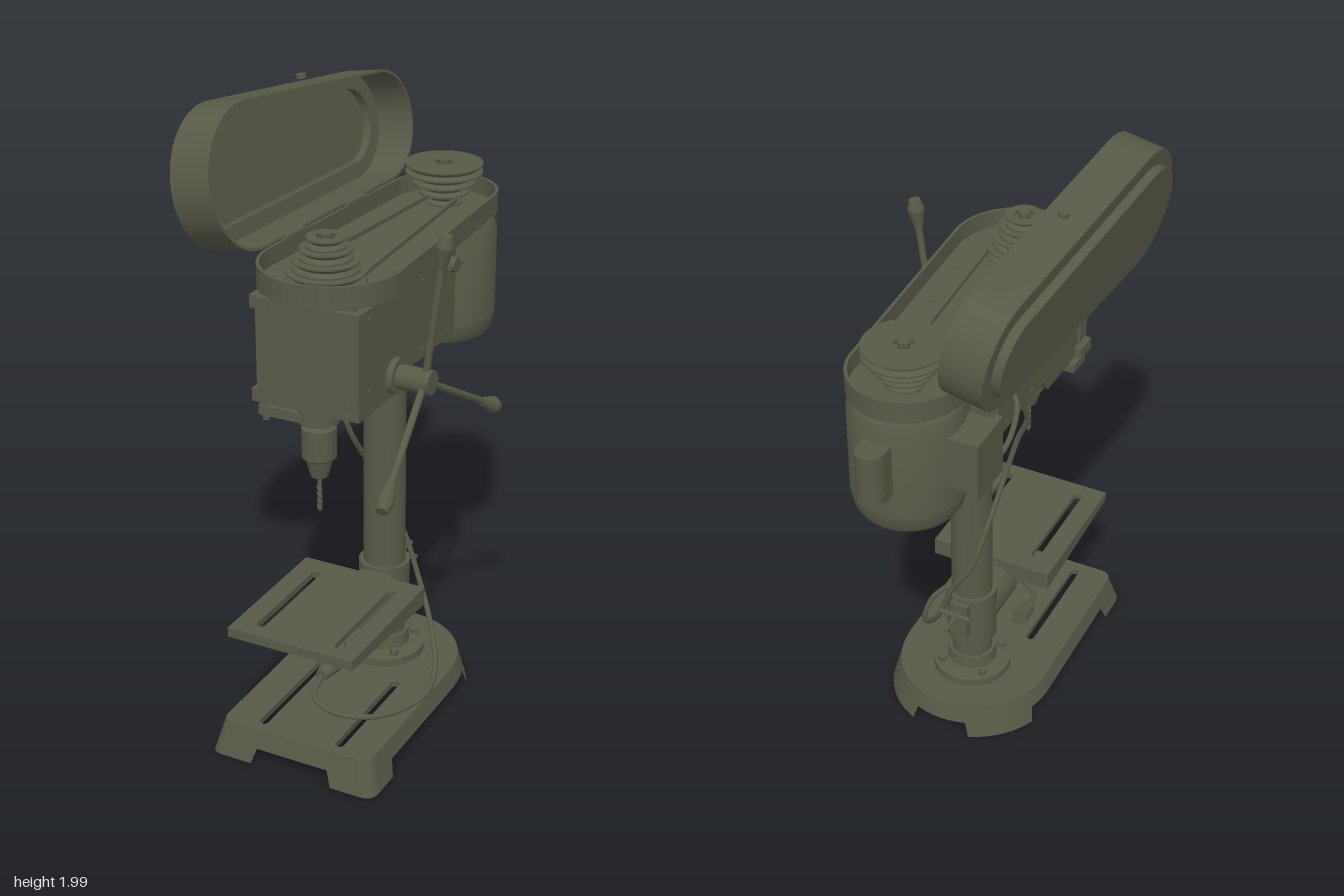
import * as THREE from 'three';
import { toCreasedNormals } from 'three/addons/utils/BufferGeometryUtils.js';

const paint = new THREE.MeshStandardMaterial({ color: 0x575a47, side: THREE.DoubleSide });
paint.name = 'olive paint';
const V = (x, y, z) => new THREE.Vector3(x, y, z);
const CX = 0.04; // centre line of the machine

export function createModel() {
  const root = new THREE.Group();
  root.name = 'drillPress';

  const add = (name, geo, x = 0, y = 0, z = 0, parent = root) => {
    const m = new THREE.Mesh(geo, paint);
    m.name = name;
    m.position.set(x, y, z);
    parent.add(m);
    return m;
  };
  const box = (name, x0, x1, y0, y1, z0, z1) =>
    add(name, new THREE.BoxGeometry(x1 - x0, y1 - y0, z1 - z0), (x0 + x1) / 2, (y0 + y1) / 2, (z0 + z1) / 2);
  const lathe = (name, pts, x, z, seg = 40) =>
    add(name, toCreasedNormals(new THREE.LatheGeometry(pts.map(p => new THREE.Vector2(...p)), seg), 0.6), x, 0, z);
  // Cylinder between two points
  const rod = (name, a, b, r0, r1 = r0, seg = 16) => {
    const m = add(name, new THREE.CylinderGeometry(r1, r0, a.distanceTo(b), seg), ...a.clone().lerp(b, 0.5));
    m.quaternion.setFromUnitVectors(V(0, 1, 0), b.clone().sub(a).normalize());
    return m;
  };
  const extrude = (shape, depth) =>
    toCreasedNormals(new THREE.ExtrudeGeometry(shape, { depth, bevelEnabled: false, curveSegments: 32 }), 0.5);
  // Side profile in (z, y), extruded across x
  const profile = (name, pts, x0, x1) =>
    add(name, extrude(new THREE.Shape(pts.map(p => new THREE.Vector2(...p))), x1 - x0).rotateY(-Math.PI / 2), x1);
  const tube = (name, pts, r) =>
    add(name, new THREE.TubeGeometry(new THREE.CatmullRomCurve3(pts.map(p => V(...p))), 100, r, 8));
  // Long rounded slot, running along z from z0 to z1
  const slot = (x, z0, z1, r = 0.014) => {
    const p = new THREE.Path();
    p.absarc(x, -z0 - r, r, 0, Math.PI, false);
    p.absarc(x, -z1 + r, r, Math.PI, Math.PI * 2, false);
    return p;
  };
  // Outline around two circles of different radius
  const D = 0.735;
  const hull = (r1, r2, C = THREE.Shape) => {
    const a = Math.acos((r1 - r2) / D), s = new C();
    s.absarc(0, 0, r1, a, Math.PI * 2 - a, false);
    s.absarc(D, 0, r2, -a, a, false);
    s.closePath();
    return s;
  };
  const ring = (r1, r2, w) => {
    const s = hull(r1, r2);
    s.holes.push(hull(r1 - w, r2 - w, THREE.Path));
    return s;
  };

  // Base: sloped skirt with cut-outs between the feet, slotted top
  const outline = new THREE.Shape();
  outline.moveTo(-0.195, -0.635);
  outline.lineTo(0.28, -0.635);
  outline.quadraticCurveTo(0.325, -0.635, 0.325, -0.59);
  outline.lineTo(0.325, -0.02);
  outline.absarc(CX, -0.02, 0.283, 0, Math.PI, false);
  outline.lineTo(-0.24, -0.59);
  outline.quadraticCurveTo(-0.24, -0.635, -0.195, -0.635);
  const rim = outline.getSpacedPoints(240);
  const inset = (p, t) => [CX + (p.x - CX) * (1 - 0.1 * t), -0.19 + (p.y + 0.19) * (1 - 0.062 * t)];
  const pos = [], idx = [];
  rim.forEach((p, i) => {
    const x = Math.abs(p.x - CX), z = -p.y;
    const notch = (z > 0.6 && x < 0.13) || (z > -0.08 && z < 0.49 && x > 0.2) || (z < -0.2 && x < 0.1);
    const y0 = notch ? 0.05 : 0;
    for (const y of [y0, 0.106]) {
      const [a, b] = inset(p, y / 0.106);
      pos.push(a, y, -b);
    }
    if (i) idx.push(2 * i - 2, 2 * i, 2 * i - 1, 2 * i, 2 * i + 1, 2 * i - 1);
  });
  const skirt = new THREE.BufferGeometry();
  skirt.setAttribute('position', new THREE.Float32BufferAttribute(pos, 3));
  skirt.setIndex(idx);
  add('baseSkirt', toCreasedNormals(skirt, 0.5));
  const top = new THREE.Shape(rim.slice(0, -1).map(p => new THREE.Vector2(...inset(p, 1))));
  for (const x of [-0.09, 0.175]) top.holes.push(slot(x, 0.17, 0.57));
  add('baseTop', extrude(top, 0.02).rotateX(-Math.PI / 2), 0, 0.088);

  // Column with foot flange and top collar
  lathe('columnFoot', [[0, 0.1], [0.13, 0.1], [0.13, 0.135], [0.082, 0.143], [0.078, 0.185], [0, 0.185]], CX, -0.005);
  for (let i = 0; i < 4; i++) {
    const a = Math.PI / 4 + i * Math.PI / 2;
    add('footBolt', new THREE.CylinderGeometry(0.014, 0.014, 0.02, 6), CX + 0.105 * Math.cos(a), 0.145, -0.005 + 0.105 * Math.sin(a));
  }
  rod('column', V(CX, 0.1, -0.005), V(CX, 1.22, -0.005), 0.067, 0.067, 40);
  rod('columnCollar', V(CX, 1.14, -0.005), V(CX, 1.22, -0.005), 0.077, 0.077, 40);

  // Work table and its clamp
  const plate = new THREE.Shape([[-0.17, -0.62], [0.25, -0.62], [0.25, -0.135], [-0.17, -0.135]].map(p => new THREE.Vector2(...p)));
  for (const x of [-0.09, 0.175]) plate.holes.push(slot(x, 0.2, 0.57));
  add('tableTop', extrude(plate, 0.02).rotateX(-Math.PI / 2), 0, 0.436);
  for (const x of [-0.17, 0.238])
    profile('tableSide', [[0.62, 0.455], [0.135, 0.455], [0.135, 0.395], [0.62, 0.425]], x, x + 0.012);
  box('tableFront', -0.17, 0.25, 0.425, 0.45, 0.608, 0.62);
  box('tableBack', -0.17, 0.25, 0.395, 0.45, 0.135, 0.147);
  profile('tableArm', [[0.42, 0.437], [0.13, 0.437], [0.13, 0.335], [0.17, 0.335], [0.42, 0.37]], 0.008, 0.072);
  rod('tablePivot', V(CX, 0.35, 0), V(CX, 0.35, 0.168), 0.083, 0.083, 36);
  rod('tableClamp', V(CX, 0.25, -0.005), V(CX, 0.44, -0.005), 0.082, 0.082, 36);
  box('clampLug', 0.01, 0.07, 0.3, 0.43, -0.105, -0.05);
  rod('clampScrew', V(CX, 0.4, -0.09), V(CX, 0.4, -0.2), 0.008);
  rod('clampHandle', V(-0.01, 0.4, -0.12), V(0.1, 0.4, -0.12), 0.008);

  // Head casting
  profile('head', [[0.485, 1.48], [0.485, 1.155], [0.2, 1.155], [0.17, 1.203], [-0.15, 1.203], [-0.15, 1.48]], -0.125, 0.205);
  box('headNeck', -0.1, 0.18, 1.47, 1.505, -0.13, 0.46);
  for (const z of [-0.1, 0.08, 0.42]) for (const y of [1.23, 1.45])
    for (const s of [-1, 1])
      rod('headScrew', V(CX + s * 0.16, y, z), V(CX + s * 0.169, y, z), 0.008, 0.008, 8);
  for (const x of [-0.09, 0.17]) for (const y of [1.2, 1.45])
    rod('frontScrew', V(x, y, 0.48), V(x, y, 0.489), 0.008, 0.008, 8);

  // Depth stop on the left of the head
  for (const y of [1.17, 1.46]) box('depthStopBracket', -0.15, -0.08, y - 0.02, y + 0.02, 0.4, 0.475);
  rod('depthStopRod', V(-0.115, 1.09, 0.455), V(-0.115, 1.48, 0.455), 0.01);
  rod('depthStopNut', V(-0.115, 1.28, 0.455), V(-0.115, 1.31, 0.455), 0.018, 0.018, 6);
  box('depthScale', -0.135, -0.12, 1.2, 1.46, 0.42, 0.47);
  box('depthStopArm', -0.135, 0.04, 1.105, 1.135, 0.38, 0.465);

  // Spindle, chuck and bit
  lathe('spindle', [[0, 1.2], [0.045, 1.2], [0.045, 1.145], [0.062, 1.145], [0.062, 1.1], [0.03, 1.1], [0.03, 1.085],
    [0.052, 1.08], [0.052, 0.985], [0.04, 0.975], [0.036, 0.955], [0.026, 0.92], [0, 0.918]], 0.035, 0.41);
  rod('drillBit', V(0.035, 0.81, 0.41), V(0.035, 0.93, 0.41), 0.007);
  rod('bitTip', V(0.035, 0.797, 0.41), V(0.035, 0.81, 0.41), 0, 0.007);
  const flute = [];
  for (let i = 0; i <= 40; i++) flute.push([0.035 + 0.006 * Math.cos(i * 0.6), 0.81 + i * 0.002, 0.41 + 0.006 * Math.sin(i * 0.6)]);
  tube('bitFlute', flute, 0.0035);

  // Feed hub with three handles
  rod('feedBoss', V(0.2, 1.22, 0.265), V(0.225, 1.22, 0.265), 0.055, 0.055, 28);
  rod('feedHub', V(0.2, 1.22, 0.265), V(0.33, 1.22, 0.265), 0.037, 0.037, 28);
  for (let i = 0; i < 3; i++) {
    const a = Math.PI / 2 + i * Math.PI * 2 / 3;
    const at = r => V(0.305 + 0.06 * r / 0.45, 1.22 + r * Math.sin(a), 0.265 + r * Math.cos(a));
    rod('feedArm', at(0), at(0.37), 0.011);
    rod('feedKnob', at(0.355), at(0.42), 0.013, 0.027);
    rod('feedKnobEnd', at(0.42), at(0.452), 0.027, 0.018);
  }

  // Belt tray
  const lay = new THREE.Matrix4().makeBasis(V(0, 0, -1), V(-1, 0, 0), V(0, 1, 0));
  add('trayFloor', extrude(hull(0.213, 0.173), 0.012).applyMatrix4(lay), CX, 1.5, 0.333);
  add('trayWall', extrude(ring(0.215, 0.175, 0.01), 0.068).applyMatrix4(lay), CX, 1.5, 0.333);
  for (const x of [-0.09, 0.175]) for (const z of [0, 0.2])
    rod('trayScrew', V(x, 1.51, z), V(x, 1.516, z), 0.01, 0.01, 8);

  // Stepped pulleys
  const pulley = (name, z, radii) => {
    const pts = [[0, 1.515]];
    radii.forEach((r, i) => {
      const y = 1.52 + i * 0.033;
      pts.push([r, y], [r, y + 0.006], [r - 0.013, y + 0.016], [r, y + 0.027], [r, y + 0.032]);
    });
    pts.push([0.03, 1.652], [0.03, 1.64], [0, 1.64]);
    lathe(name, pts, CX, z, 48);
    rod('pulleyNut', V(CX, 1.63, z), V(CX, 1.66, z), 0.018, 0.018, 6);
  };
  pulley('frontPulley', 0.365, [0.118, 0.098, 0.078, 0.058]);
  pulley('rearPulley', -0.412, [0.058, 0.078, 0.1, 0.123]);
  add('belt', extrude(ring(0.1, 0.053, 0.01), 0.014).applyMatrix4(lay), CX, 1.53, 0.345);

  // Open lid, hinged along the left edge of the tray
  const lid = new THREE.Group();
  lid.name = 'lid';
  lid.position.set(-0.175, 1.57, 0.333);
  lid.rotation.set(0, -0.055, 0.165, 'YXZ');
  root.add(lid);
  const stand = new THREE.Matrix4().makeBasis(V(0, 0, -1), V(0, 1, 0), V(1, 0, 0));
  const lidPart = (name, shape, depth, x) =>
    add(name, extrude(shape, depth).rotateZ(-0.054).applyMatrix4(stand), x, 0.215, 0, lid);
  lidPart('lidWall', ring(0.215, 0.175, 0.008), 0.13, -0.13);
  lidPart('lidShoulder', ring(0.214, 0.174, 0.054), 0.008, -0.134);
  lidPart('lidStep', ring(0.166, 0.126, 0.008), 0.032, -0.16);
  lidPart('lidFace', hull(0.165, 0.125), 0.008, -0.162);
  for (const z of [-0.15, -0.5]) add('lidHinge', new THREE.CylinderGeometry(0.009, 0.009, 0.1, 10).rotateX(Math.PI / 2), 0, 0, z, lid);
  add('lidCatch', new THREE.CylinderGeometry(0.016, 0.016, 0.014, 12), -0.06, 0.412, -0.4, lid);

  // Motor
  const MZ = -0.408;
  lathe('motor', [[0, 1.09], [0.125, 1.09], [0.15, 1.1], [0.165, 1.125], [0.168, 1.16], [0.172, 1.162], [0.172, 1.45],
    [0.16, 1.478], [0.03, 1.482], [0.03, 1.52], [0, 1.52]], CX, MZ, 48);
  for (const r of [0.035, 0.065, 0.095])
    add('motorVentRing', new THREE.TorusGeometry(r, 0.006, 6, 32).rotateX(Math.PI / 2), CX, 1.09, MZ);
  for (let i = 0; i < 4; i++) {
    const a = i * Math.PI / 4, c = 0.11 * Math.cos(a), s = 0.11 * Math.sin(a);
    rod('motorVentRib', V(CX - c, 1.089, MZ - s), V(CX + c, 1.089, MZ + s), 0.005, 0.005, 6);
  }
  // Rounded capacitor cover and wiring box
  box('capacitorCover', 0, 0.088, 1.25, 1.42, -0.62, -0.56);
  rod('capacitorEnd', V(0.044, 1.25, -0.617), V(0.044, 1.42, -0.617), 0.044, 0.044, 24);
  box('wiringBox', -0.2, -0.11, 1.25, 1.42, -0.475, -0.335);
  box('wiringBoxLid', -0.222, -0.2, 1.24, 1.43, -0.485, -0.325);

  // Motor mount
  box('motorMount', -0.07, 0.15, 1.26, 1.47, -0.25, -0.228);
  for (const x of [-0.04, 0.12]) rod('mountRod', V(x, 1.44, -0.13), V(x, 1.44, -0.24), 0.013);
  rod('mountStrut', V(CX, 1.23, -0.14), V(CX, 1.31, -0.235), 0.011);
  for (const s of [-1, 1]) {
    rod('mountLock', V(CX + s * 0.16, 1.44, -0.11), V(CX + s * 0.19, 1.44, -0.11), 0.024);
    rod('mountLockBar', V(CX + s * 0.182, 1.44, -0.07), V(CX + s * 0.182, 1.435, -0.17), 0.008);
  }

  // Cables and plug
  tube('motorCable', [[-0.16, 1.26, -0.34], [-0.17, 1.22, -0.27], [-0.17, 1.23, -0.17], [-0.16, 1.3, -0.1], [-0.12, 1.33, -0.06]], 0.009);
  tube('powerCable', [[-0.12, 1.23, 0.02], [-0.115, 1.12, 0.07], [-0.08, 1.03, 0.08], [-0.05, 0.9, 0.06], [-0.03, 0.72, -0.055],
    [0, 0.6, -0.092], [0.06, 0.5, -0.1], [0.12, 0.35, -0.09], [0.2, 0.23, -0.02], [0.27, 0.145, 0.09], [0.295, 0.122, 0.22],
    [0.22, 0.118, 0.38], [0.09, 0.118, 0.43], [-0.01, 0.12, 0.38], [-0.035, 0.135, 0.29]], 0.009);
  rod('plug', V(-0.035, 0.137, 0.29), V(-0.03, 0.145, 0.22), 0.02, 0.032);
  for (const x of [-0.042, -0.018]) rod('plugPin', V(x, 0.145, 0.22), V(x, 0.15, 0.185), 0.005, 0.005, 8);

  return root;
}
